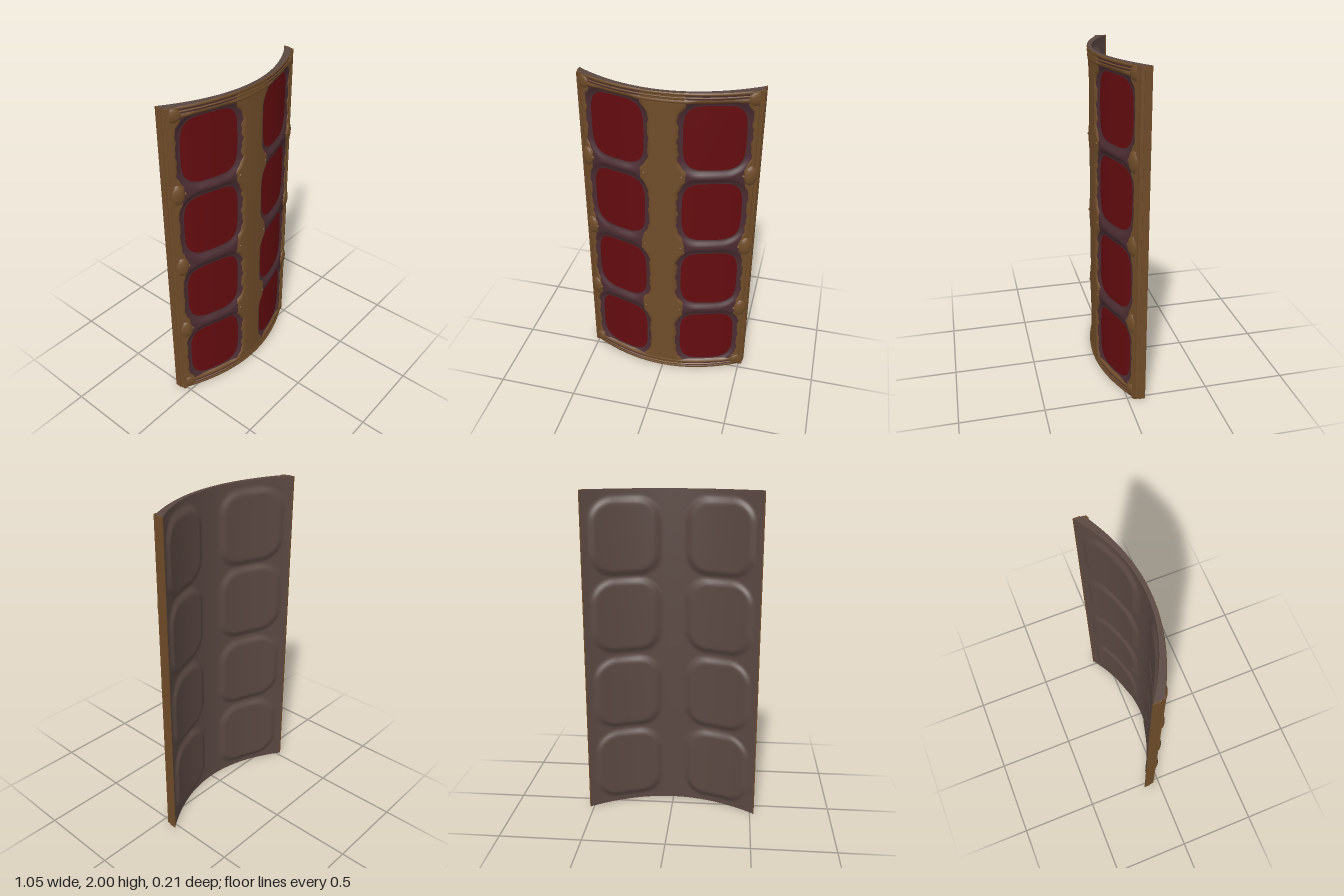
import * as THREE from 'three';

const HALF = 0.52;                                   // half width of the shield
const PANEL = { x: 0.2775, hw: 0.167, hh: 0.195, r: 0.1 };
const ROWS = [0.2675, 0.755, 1.2475, 1.725];         // panel centre heights
const RIBS = [0.51, 1.0, 1.49];                      // heights of the cross ribs

const smooth = THREE.MathUtils.smoothstep;

// distance to the nearest rounded panel (negative inside)
function panelDistance(x, y) {
  let best = 1;
  for (const cy of ROWS) {
    const dx = Math.abs(Math.abs(x) - PANEL.x) - PANEL.hw + PANEL.r;
    const dy = Math.abs(y - cy) - PANEL.hh + PANEL.r;
    const d = Math.hypot(Math.max(dx, 0), Math.max(dy, 0)) + Math.min(Math.max(dx, dy), 0) - PANEL.r;
    best = Math.min(best, d);
  }
  return best;
}

// pressed, curved surface: panels sunken, frame and ribs raised
const front = (x, y) => 0.076 - 0.55 * x * x + 0.02 * smooth(panelDistance(x, y), -0.002, 0.045);
const back = (x, y) => front(x, y) - 0.016 - 0.12 * x * x;

// grid of points from f(u, v); faces the side given by du x dv
function sheet(name, material, nu, nv, f, flip = false) {
  const pos = [], index = [];
  for (let j = 0; j <= nv; j++) for (let i = 0; i <= nu; i++) pos.push(...f(i / nu, j / nv));
  for (let j = 0; j < nv; j++) for (let i = 0; i < nu; i++) {
    const a = j * (nu + 1) + i, b = a + 1, c = b + nu + 1, d = c - 1;
    if (flip) index.push(a, c, b, a, d, c);
    else index.push(a, b, c, a, c, d);
  }
  const g = new THREE.BufferGeometry();
  g.setAttribute('position', new THREE.Float32BufferAttribute(pos, 3));
  g.setIndex(index);
  g.computeVertexNormals();
  const mesh = new THREE.Mesh(g, material);
  mesh.name = name;
  return mesh;
}

export function createModel() {
  const mat = (name, color, side = THREE.FrontSide) => {
    const m = new THREE.MeshStandardMaterial({ color, side });
    m.name = name;
    return m;
  };
  const bronze = mat('bronze', 0x6f4c29, THREE.DoubleSide);
  const plum = mat('plum', 0x4a2c31);
  const red = mat('deep red', 0x640c0f);
  const brown = mat('dark brown', 0x5a4842, THREE.DoubleSide);

  const model = new THREE.Group();
  model.name = 'curvedShield';

  // pressed front and back faces
  const span = (u) => (u * 2 - 1) * HALF;
  model.add(sheet('frontFace', plum, 96, 170, (u, v) => [span(u), 2 * v, front(span(u), 2 * v)]));
  model.add(sheet('backFace', brown, 96, 170, (u, v) => [span(u), 2 * v, back(span(u), 2 * v)], true));

  // top and bottom edges
  for (const y of [0, 2]) {
    model.add(sheet(y ? 'topEdge' : 'bottomEdge', brown, 60, 1, (u, v) => {
      const x = span(u);
      return [x, y, v ? front(x, y) + 0.006 : back(x, y)];
    }, y > 0));
  }

  // red panels
  const soft = (t) => Math.sign(t) * Math.pow(Math.abs(t), 2 / 3.8);
  for (const side of [-1, 1]) for (const cy of ROWS) {
    model.add(sheet('redPanel', red, 10, 64, (u, v) => {
      const a = v * Math.PI * 2;
      const x = side * PANEL.x + u * PANEL.hw * soft(Math.cos(a));
      const y = cy + u * PANEL.hh * soft(Math.sin(a));
      return [x, y, front(x, y) + 0.003];
    }));
  }

  // bronze plating that follows the pressed face, tapered at its long edges
  const flare = (y) => smooth(Math.min(...ROWS.map((c) => Math.abs(y - c))), 0.12, 0.215);
  const wobble = (y) => 0.004 * Math.sin(y * 47) + 0.003 * Math.sin(y * 113);
  const plate = (name, nu, left, right) => model.add(sheet(name, bronze, nu, 170, (u, v) => {
    const y = 2 * v;
    const x = left(y) + (right(y) - left(y)) * u;
    return [x, y, front(x, y) + (u === 0 || u === 1 ? 0.001 : 0.006)];
  }));
  const spine = (y) => 0.085 + 0.045 * flare(y) + wobble(y);
  plate('centralSpine', 24, (y) => -spine(y), spine);
  const inner = (y) => 0.474 - 0.026 * flare(y) + wobble(y + 0.3);
  plate('leftBorder', 10, inner, () => HALF);
  plate('rightBorder', 10, () => -HALF, (y) => -inner(y));

  // ridged top and bottom borders
  const ridges = [[0, 0.018], [0.024, 0.034], [0.04, 0.064]];
  for (const [lo, hi] of ridges) for (const top of [false, true]) {
    const y0 = top ? 2 - hi : lo, y1 = top ? 2 - lo : hi;
    model.add(sheet(top ? 'topRidge' : 'bottomRidge', bronze, 60, 4, (u, v) => {
      const x = span(u), y = y0 + (y1 - y0) * v;
      return [x, y, front(x, y) + 0.004 + 0.005 * Math.sin(v * Math.PI)];
    }));
  }

  for (const side of [-1, 1]) {
    // side walls with a thin flange turned to the back
    model.add(sheet('sideWall', bronze, 3, 60, (u, v) => {
      const y = 2 * v;
      const z0 = front(HALF, y) + 0.006;
      return [side * (HALF + 0.004 * Math.sin(u * Math.PI / 2)), y, z0 + (-0.105 - z0) * u];
    }, side < 0));
    const flange = new THREE.Mesh(new THREE.BoxGeometry(0.006, 2, 0.04), bronze);
    flange.name = 'sideFlange';
    flange.position.set(side * 0.523, 1, -0.085);
    model.add(flange);

    // raised side bead
    const bead = new THREE.Mesh(new THREE.BoxGeometry(0.022, 2, 0.016), bronze);
    bead.name = 'sideBead';
    bead.position.set(side * 0.508, 1, -0.04);
    bead.rotation.y = side * 0.5;
    model.add(bead);

    // bosses where the ribs and corners meet the border
    for (const y of [0.045, ...RIBS, 1.955]) {
      const big = RIBS.includes(y);
      const boss = new THREE.Mesh(new THREE.SphereGeometry(1, 16, 10), bronze);
      boss.name = big ? 'ribBoss' : 'cornerBoss';
      boss.scale.set(0.042, big ? 0.062 : 0.04, big ? 0.022 : 0.014);
      boss.position.set(side * 0.482, y, front(0.482, y) + 0.003);
      boss.rotation.y = side * 0.5;
      model.add(boss);
    }

    // rivets on the flared ends of the ribs
    for (const y of RIBS) for (const x of [0.11, 0.445]) {
      const rivet = new THREE.Mesh(new THREE.SphereGeometry(0.009, 10, 8), bronze);
      rivet.name = 'rivet';
      rivet.position.set(side * x, y, front(x, y) + 0.004);
      model.add(rivet);
    }
  }
  return model;
}
